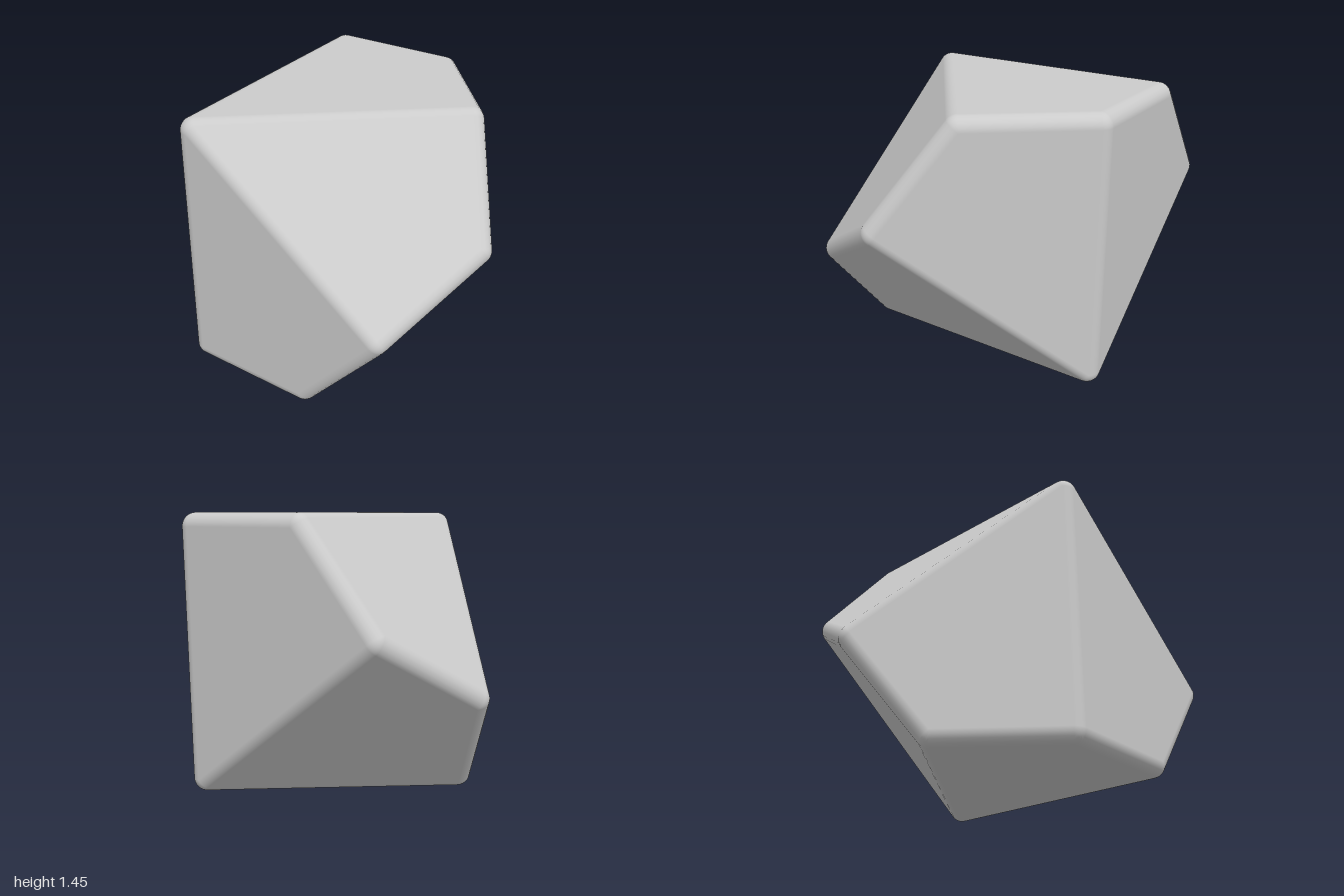
import * as THREE from 'three';

const ROUND = 0.07;   // radius of the rounded edges
const STEPS = 5;      // segments across each rounded edge
const R = 1.08, H = 1.065, RING = H * Math.tan(Math.PI / 10) ** 2;

// Sharp corners: two poles and a zigzag ring of ten, laid down on one kite face
function makeCorners() {
  const len = Math.hypot(R, H + RING);
  const c = R / len, s = (H + RING) / len;
  const place = (u, a, z) => new THREE.Vector3((u * c - a * s) * 1.025, (u * s + a * c) * 1.006, z);
  const corners = [];
  for (let i = 0; i < 10; i++) {
    const t = i * Math.PI / 5;
    corners.push(place(R * Math.cos(t), i % 2 ? RING : -RING, R * Math.sin(t)));
  }
  corners.push(place(0, H, 0), place(0, -H, 0));
  return corners;
}

// Point on the great arc between two unit vectors
function slerp(a, b, t) {
  const w = a.angleTo(b);
  if (w < 1e-6) return a.clone();
  return a.clone().multiplyScalar(Math.sin((1 - t) * w))
    .addScaledVector(b, Math.sin(t * w)).divideScalar(Math.sin(w));
}

function roundedSolid(corners, faces) {
  const pos = [], nor = [];
  const put = (...tri) => {
    const [a, b, c] = tri.map(v => v.p);
    const cross = b.clone().sub(a).cross(c.clone().sub(a));
    const sum = tri.reduce((m, v) => m.add(v.n), new THREE.Vector3());
    if (cross.dot(sum) < 0) tri.reverse();
    for (const v of tri) { pos.push(...v.p.toArray()); nor.push(...v.n.toArray()); }
  };

  const normals = faces.map(f => {
    const n = corners[f[2]].clone().sub(corners[f[0]])
      .cross(corners[f[3]].clone().sub(corners[f[1]])).normalize();
    return n.dot(corners[f[0]]) < 0 ? n.negate() : n;
  });

  // Centre of the rounding ball at each corner, touching all its faces
  const inner = corners.map((v, i) => {
    const m = new Array(9).fill(0), b = new THREE.Vector3();
    faces.forEach((f, k) => {
      if (!f.includes(i)) return;
      const n = normals[k].toArray();
      b.add(normals[k]);
      for (let q = 0; q < 9; q++) m[q] += n[q % 3] * n[Math.floor(q / 3)];
    });
    b.applyMatrix3(new THREE.Matrix3().fromArray(m).invert());
    return v.clone().addScaledVector(b, -ROUND);
  });
  const at = (i, n) => ({ p: inner[i].clone().addScaledVector(n, ROUND), n });

  // Flat faces
  faces.forEach((f, k) => {
    const [a, b, c, d] = f.map(i => at(i, normals[k]));
    put(a, b, c);
    put(a, c, d);
  });

  // Rounded edges, and the ball patches at their two ends
  const middle = corners.map((_, i) => faces.reduce(
    (m, f, k) => f.includes(i) ? m.add(normals[k]) : m, new THREE.Vector3()).normalize());
  for (let f = 0; f < faces.length; f++) for (let g = f + 1; g < faces.length; g++) {
    const shared = faces[f].filter(i => faces[g].includes(i));
    if (shared.length !== 2) continue;
    const arc = Array.from({ length: STEPS + 1 }, (_, k) => slerp(normals[f], normals[g], k / STEPS));
    const [i, j] = shared;
    for (let k = 0; k < STEPS; k++) {
      put(at(i, arc[k]), at(j, arc[k]), at(j, arc[k + 1]));
      put(at(i, arc[k]), at(j, arc[k + 1]), at(i, arc[k + 1]));
      for (const v of shared) for (let q = 0; q < STEPS; q++) {
        const grid = (e, t) => at(v, slerp(middle[v], arc[e], t / STEPS));
        put(grid(k, q), grid(k, q + 1), grid(k + 1, q + 1));
        if (q > 0) put(grid(k, q), grid(k + 1, q + 1), grid(k + 1, q));
      }
    }
  }

  const geo = new THREE.BufferGeometry();
  geo.setAttribute('position', new THREE.Float32BufferAttribute(pos, 3));
  geo.setAttribute('normal', new THREE.Float32BufferAttribute(nor, 3));
  return geo;
}

export function createModel() {
  const group = new THREE.Group();
  group.name = 'tenSidedDie';

  // Ten kites, five meeting at each pole
  const faces = [];
  for (let i = 0; i < 10; i++) faces.push([i % 2 ? 11 : 10, (i + 9) % 10, i, (i + 1) % 10]);

  const body = new THREE.Mesh(
    roundedSolid(makeCorners(), faces),
    new THREE.MeshStandardMaterial({ color: 0xcccccc }));
  body.name = 'dieBody';
  body.geometry.computeBoundingBox();
  body.position.y = -body.geometry.boundingBox.min.y;
  group.add(body);
  return group;
}
